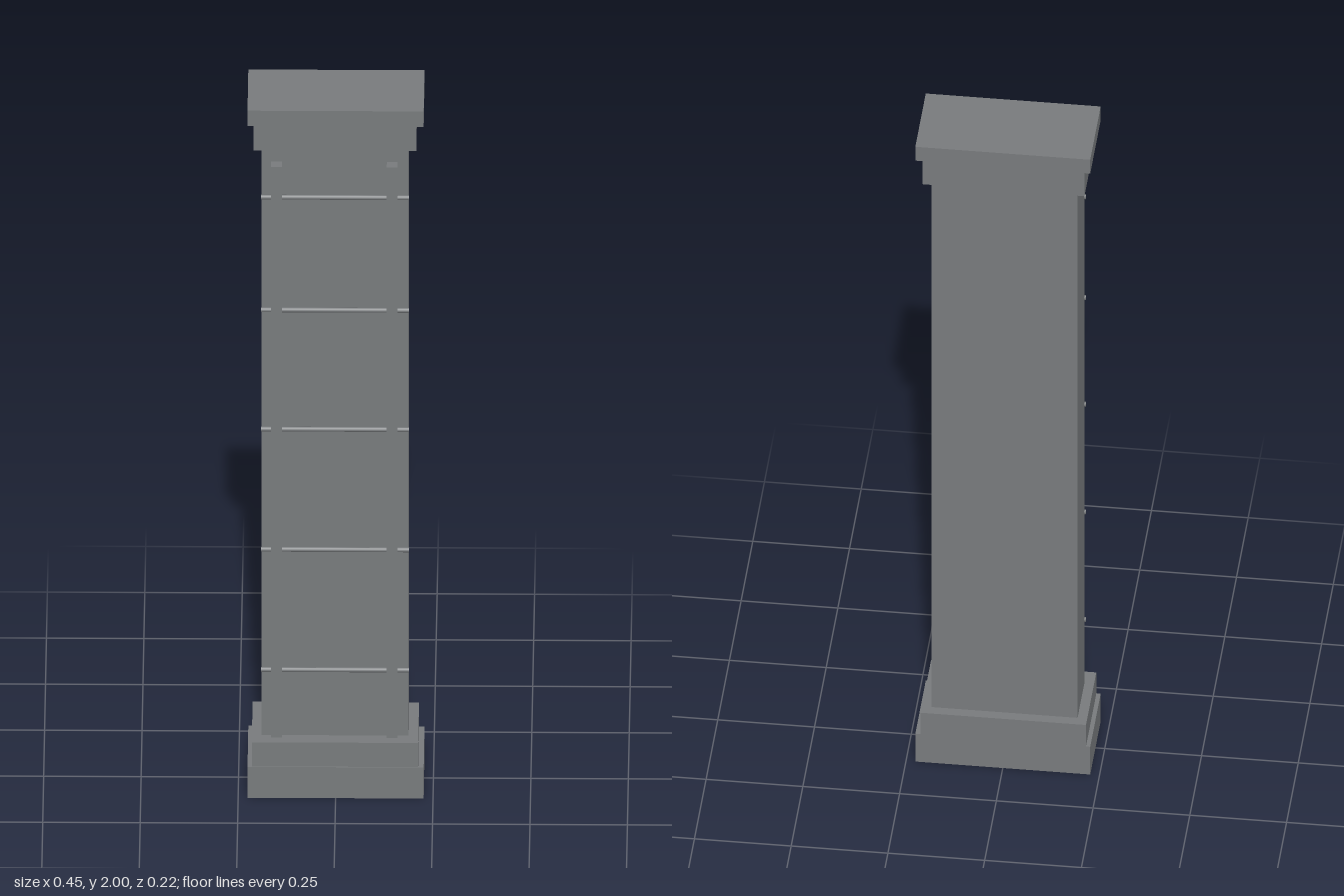
import * as THREE from 'three';

export function createModel() {
  const group = new THREE.Group();
  group.name = 'pillarWithLadder';

  const stone = new THREE.MeshStandardMaterial({ color: 0x777a7c });
  stone.name = 'grey stone';

  // Box given by its extents on each axis
  function box(name, [x0, x1], [y0, y1], [z0, z1], parent = group) {
    const mesh = new THREE.Mesh(new THREE.BoxGeometry(x1 - x0, y1 - y0, z1 - z0), stone);
    mesh.position.set((x0 + x1) / 2, (y0 + y1) / 2, (z0 + z1) / 2);
    mesh.name = name;
    parent.add(mesh);
  }

  // Stepped base, shaft and stepped capital; the steps are flush at the back
  box('basePlinth', [-0.226, 0.226], [0, 0.09], [-0.112, 0.112]);
  box('baseStep', [-0.215, 0.212], [0.09, 0.16], [-0.112, 0.109]);
  box('shaft', [-0.19, 0.187], [0.16, 1.88], [-0.085, 0.069]);
  box('capitalStep', [-0.211, 0.207], [1.88, 1.955], [-0.112, 0.104]);
  box('capitalSlab', [-0.226, 0.226], [1.955, 2], [-0.112, 0.112]);

  // Ladder on the front face
  const ladder = new THREE.Group();
  ladder.name = 'ladder';
  group.add(ladder);
  box('rightRail', [-0.166, -0.138], [0.17, 1.83], [0.069, 0.1], ladder);
  box('leftRail', [0.131, 0.159], [0.17, 1.83], [0.069, 0.1], ladder);

  // Thin rungs running through both rails
  const rungGeometry = new THREE.CylinderGeometry(0.0065, 0.0065, 0.38, 8).rotateZ(Math.PI / 2);
  for (const y of [0.355, 0.705, 1.055, 1.402, 1.73]) {
    const rung = new THREE.Mesh(rungGeometry, stone);
    rung.position.set(-0.002, y, 0.077);
    rung.name = 'rung';
    ladder.add(rung);
  }

  return group;
}
